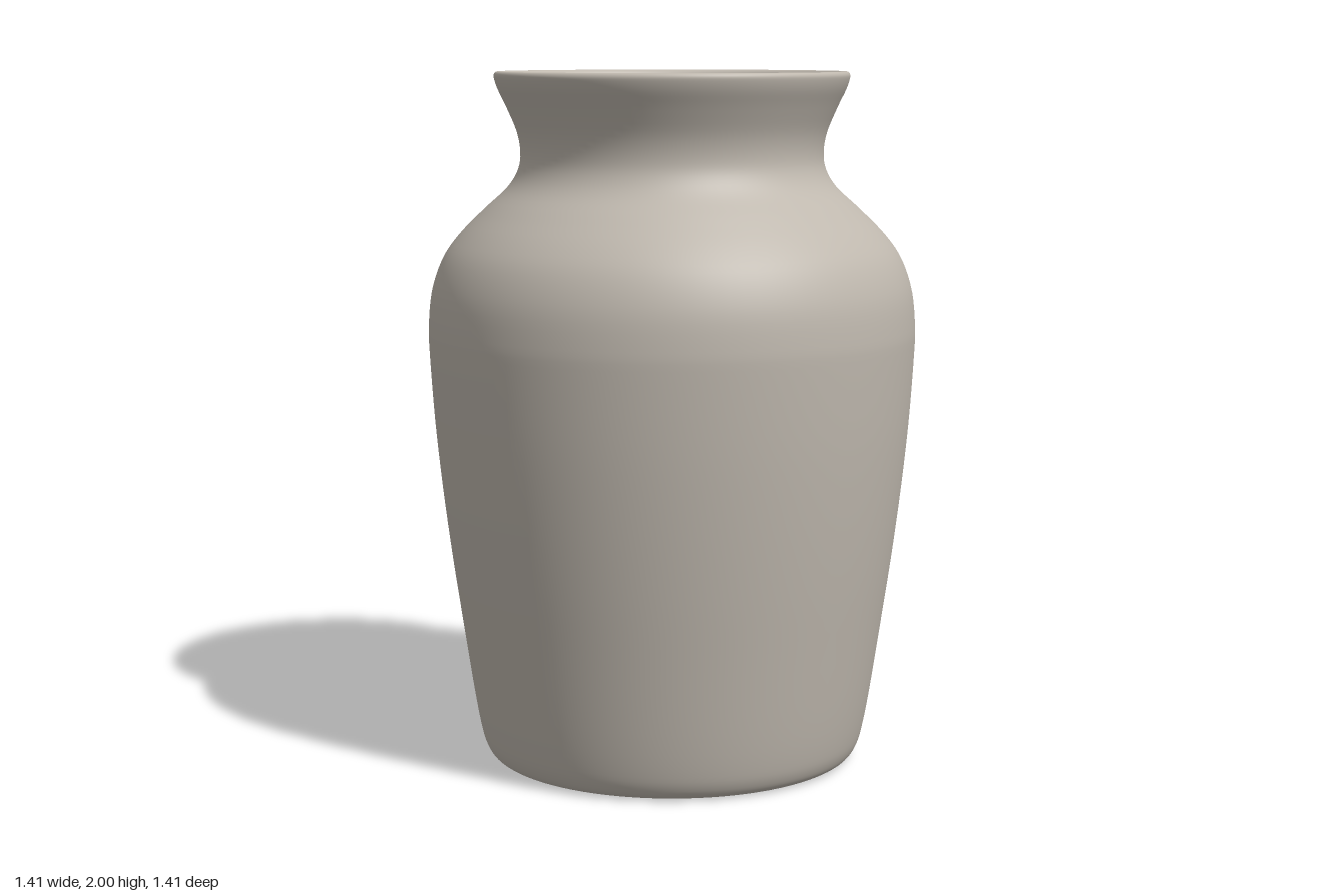
import * as THREE from 'three';

// Smooth curve through [radius, height] pairs
function smooth(pairs, count) {
  const pts = pairs.map(([r, y]) => new THREE.Vector2(r, y));
  return new THREE.SplineCurve(pts).getPoints(count);
}

export function createModel() {
  const group = new THREE.Group();
  group.name = 'vase';
  const clay = new THREE.MeshStandardMaterial({ color: 0xbfb8ae });
  clay.name = 'warm grey clay';

  const addLathe = (name, points) => {
    const mesh = new THREE.Mesh(new THREE.LatheGeometry(points, 96), clay);
    mesh.name = name;
    group.add(mesh);
  };

  // Recessed underside with a soft foot ring
  const foot = [
    [0, 0.03], [0.2, 0.03], [0.34, 0.03], [0.37, 0.025], [0.4, 0.008], [0.43, 0.002], [0.5, 0.003],
  ];
  // Tapered body, shoulder, neck and flared mouth
  const outside = [
    [0.53, 0.012], [0.55, 0.04], [0.565, 0.09], [0.585, 0.2], [0.615, 0.4], [0.644, 0.6],
    [0.669, 0.8], [0.689, 1.0], [0.702, 1.2], [0.703, 1.28], [0.692, 1.38], [0.66, 1.47],
    [0.61, 1.54], [0.54, 1.61], [0.475, 1.67], [0.444, 1.72], [0.436, 1.77], [0.446, 1.83],
    [0.475, 1.9], [0.499, 1.95], [0.509, 1.98],
  ];
  // Thin rounded rim
  const rim = [[0.509, 1.993], [0.502, 2], [0.49, 1.998], [0.48, 1.985]];
  // Hollow interior, following the outer wall
  const inside = [
    [0.473, 1.955], [0.447, 1.9], [0.42, 1.83], [0.41, 1.77], [0.418, 1.71], [0.45, 1.65],
    [0.515, 1.59], [0.585, 1.52], [0.635, 1.45], [0.665, 1.36], [0.674, 1.26], [0.66, 1.0],
    [0.615, 0.6], [0.556, 0.2], [0.53, 0.09], [0.49, 0.06], [0.4, 0.055], [0, 0.055],
  ];

  addLathe('vaseBody', smooth([...foot, ...outside, ...rim, ...inside], 200));
  return group;
}
